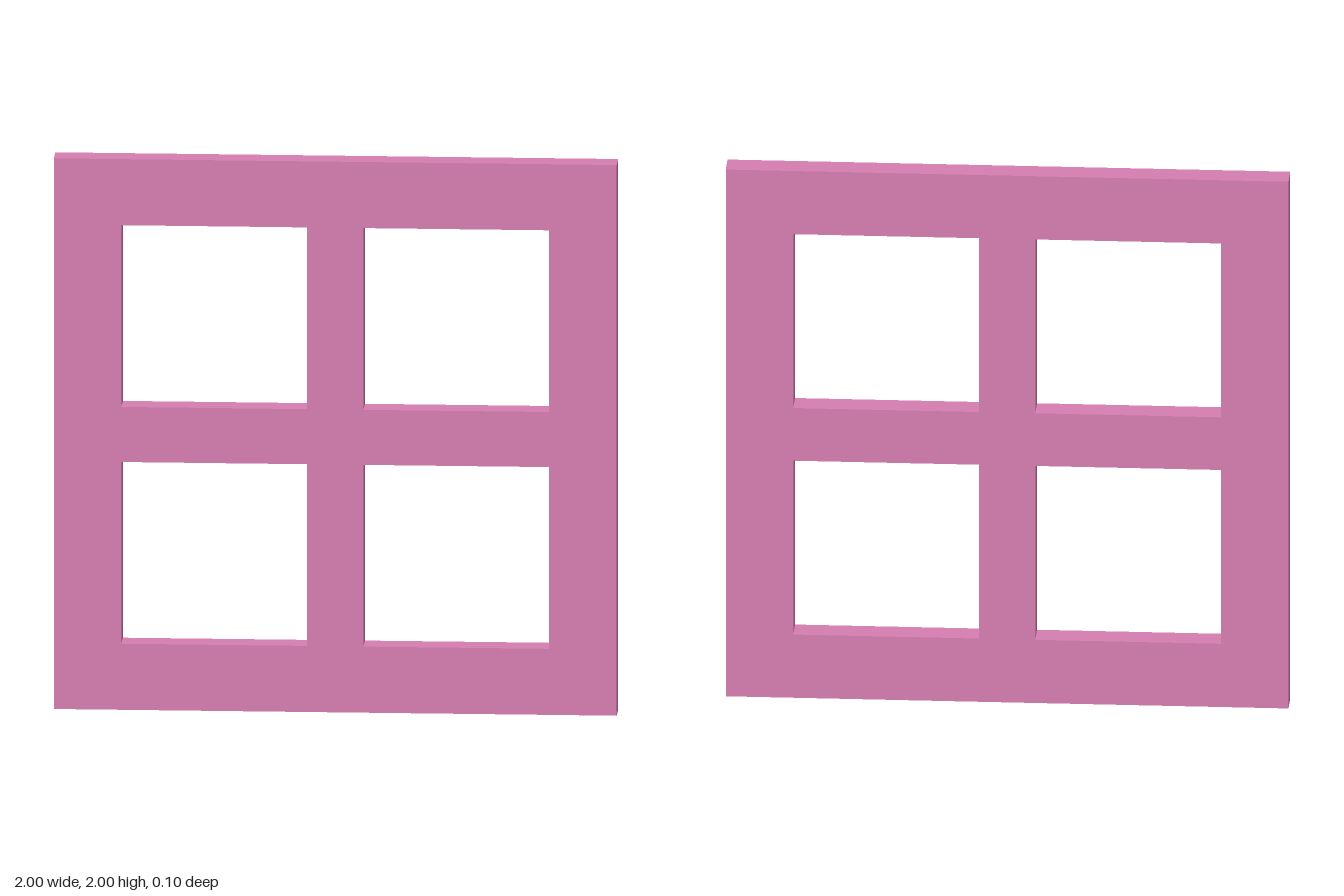
import * as THREE from 'three';

const DEPTH = 0.1;
const INNER = 0.1;  // half width of the crossing bars
const OUTER = 0.76; // inner edge of the surrounding frame

// Adds a closed rectangle to a shape or path
function rectangle(path, x0, y0, x1, y1) {
  path.moveTo(x0, y0);
  path.lineTo(x1, y0);
  path.lineTo(x1, y1);
  path.lineTo(x0, y1);
  path.closePath();
  return path;
}

export function createModel() {
  const group = new THREE.Group();
  group.name = 'window';

  // Square panel with four mirrored pane openings
  const outline = rectangle(new THREE.Shape(), -1, -1, 1, 1);
  for (const sx of [-1, 1]) {
    for (const sy of [-1, 1]) {
      outline.holes.push(
        rectangle(new THREE.Path(), sx * INNER, sy * INNER, sx * OUTER, sy * OUTER));
    }
  }

  const geometry = new THREE.ExtrudeGeometry(outline, { depth: DEPTH, bevelEnabled: false });
  geometry.translate(0, 1, -DEPTH / 2);

  const material = new THREE.MeshStandardMaterial({ color: 0xd87fb2, flatShading: true });
  const frame = new THREE.Mesh(geometry, material);
  frame.name = 'windowFrame';
  group.add(frame);
  return group;
}
